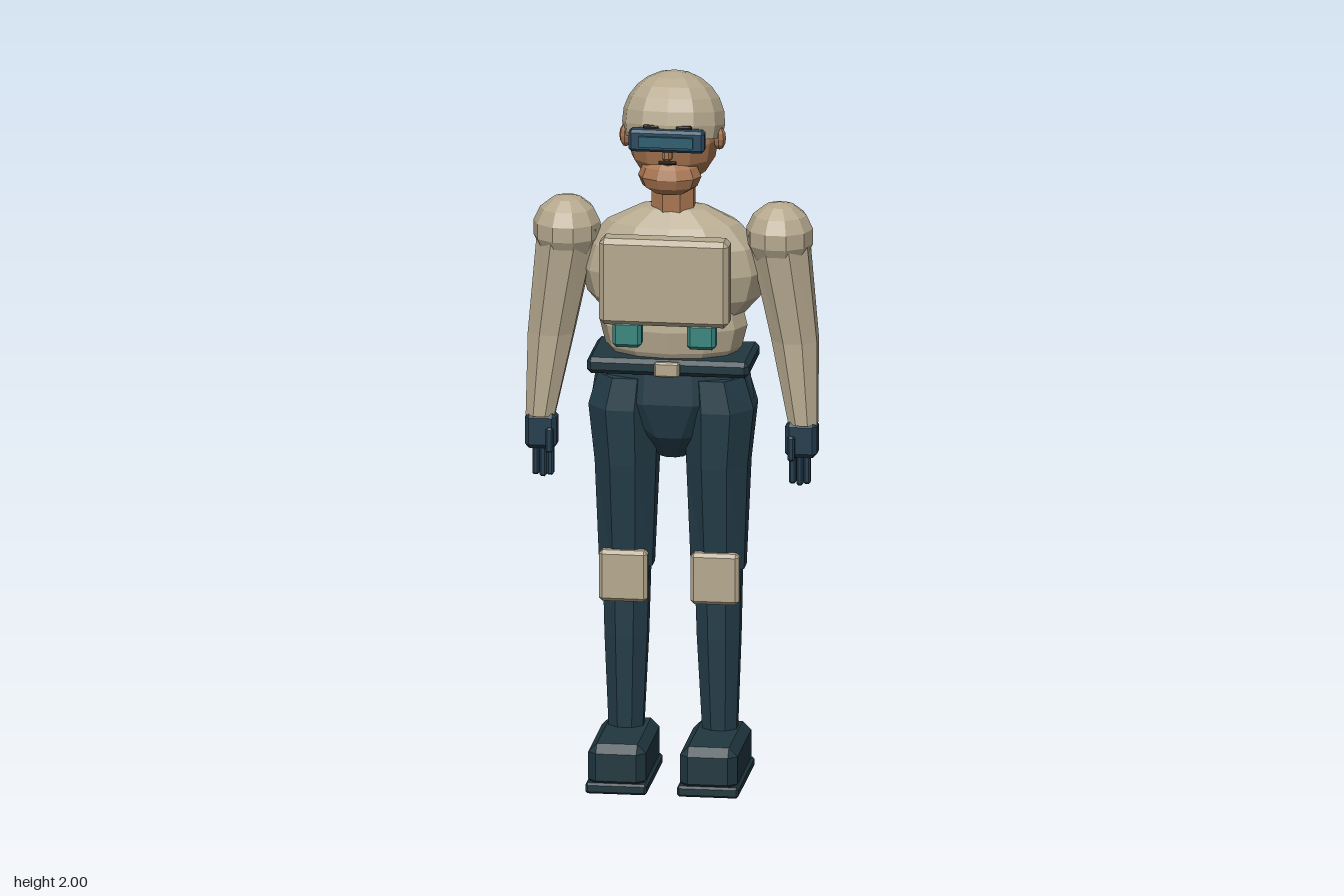
import * as THREE from 'three';
import { ConvexGeometry } from 'three/addons/geometries/ConvexGeometry.js';

const mat = (name, color) => {
  const m = new THREE.MeshStandardMaterial({ color });
  m.name = name;
  return m;
};

// Faceted normals for low-poly shapes
function facet(g) {
  const f = g.index ? g.toNonIndexed() : g;
  f.computeVertexNormals();
  return f;
}

// Box with all edges chamfered by b
function chamferBox(w, h, d, b) {
  const pts = [];
  for (const x of [-w / 2, w / 2]) for (const y of [-h / 2, h / 2]) for (const z of [-d / 2, d / 2]) {
    const sx = Math.sign(x) * b, sy = Math.sign(y) * b, sz = Math.sign(z) * b;
    pts.push(new THREE.Vector3(x, y - sy, z - sz), new THREE.Vector3(x - sx, y, z - sz), new THREE.Vector3(x - sx, y - sy, z));
  }
  return new ConvexGeometry(pts);
}

// Ellipsoid, optionally cut off at polar angle theta
function ellipsoid(rx, ry, rz, ws = 12, hs = 8, theta = Math.PI) {
  const g = new THREE.SphereGeometry(1, ws, hs, 0, Math.PI * 2, 0, theta);
  return facet(g.scale(rx, ry, rz));
}

// Closed limb through elliptical rings [x, y, z, rx, rz], top to bottom
function loft(rings, sides = 8) {
  const pos = [], idx = [], n = rings.length;
  for (const [x, y, z, rx, rz] of rings) {
    for (let j = 0; j < sides; j++) {
      const a = ((j + 0.5) / sides) * Math.PI * 2;
      pos.push(x + rx * Math.sin(a), y, z + rz * Math.cos(a));
    }
  }
  for (let j = 0; j < sides; j++) {
    const k = (j + 1) % sides;
    for (let i = 0; i < n - 1; i++) {
      const p = i * sides, q = p + sides;
      idx.push(p + j, q + j, q + k, p + j, q + k, p + k);
    }
    const e = (n - 1) * sides;
    if (j > 0 && j < sides - 1) idx.push(0, j, k, e, e + k, e + j);
  }
  const g = new THREE.BufferGeometry();
  g.setAttribute('position', new THREE.Float32BufferAttribute(pos, 3));
  g.setIndex(idx);
  return facet(g);
}

export function createModel() {
  const root = new THREE.Group();
  root.name = 'figure';

  const cloth = mat('sandCloth', 0xb5a88e);
  const navy = mat('navyCloth', 0x243d49);
  const dark = mat('bootAndBelt', 0x20373f);
  const glove = mat('glove', 0x233c4c);
  const visorMat = mat('visor', 0x294a60);
  const lensMat = mat('lens', 0x2c5e70);
  const teal = mat('tealPouch', 0x3a857f);
  const skin = mat('skin', 0xa87550);
  const black = mat('darkFeature', 0x241c1a);

  const add = (name, geo, material, x = 0, y = 0, z = 0, parent = root) => {
    const m = new THREE.Mesh(geo, material);
    m.name = name;
    m.position.set(x, y, z);
    parent.add(m);
    return m;
  };

  // Head
  const head = new THREE.Group();
  head.name = 'head';
  root.add(head);
  add('face', ellipsoid(0.126, 0.135, 0.127), skin, 0, 1.815, -0.045, head);
  add('jaw', ellipsoid(0.088, 0.055, 0.065, 10, 6), skin, 0, 1.725, 0.03, head);
  add('nose', chamferBox(0.028, 0.04, 0.03, 0.008), skin, 0, 1.8, 0.08, head);
  add('mouth', chamferBox(0.05, 0.009, 0.008, 0.002), black, 0, 1.773, 0.078, head);
  add('cap', ellipsoid(0.143, 0.14, 0.138, 12, 7, Math.PI * 0.6), cloth, 0, 1.86, -0.05, head).rotation.x = -0.2;
  add('neck', loft([[0, 1.73, -0.05, 0.063, 0.055], [0, 1.59, -0.05, 0.063, 0.055]]), skin, 0, 0, 0, head);

  // Visor
  add('visor', chamferBox(0.21, 0.062, 0.042, 0.008), visorMat, 0, 1.84, 0.085, head);
  add('visorLens', new THREE.BoxGeometry(0.15, 0.03, 0.009), lensMat, 0, 1.84, 0.111, head);

  // Torso
  add('chest', ellipsoid(0.26, 0.19, 0.14), cloth, 0, 1.44, -0.055);
  add('belly', ellipsoid(0.205, 0.16, 0.123), cloth, 0, 1.285, -0.05);
  add('belt', chamferBox(0.45, 0.045, 0.24, 0.012), dark, 0, 1.187, -0.04);
  add('buckle', chamferBox(0.07, 0.042, 0.022, 0.005), cloth, 0, 1.187, 0.088);
  add('pelvis', loft([
    [0, 1.18, -0.042, 0.21, 0.115], [0, 1.08, -0.042, 0.225, 0.122],
    [0, 0.98, -0.042, 0.11, 0.095], [0, 0.912, -0.042, 0.04, 0.04],
  ], 10), navy);

  // Chest pack
  add('chestPack', chamferBox(0.36, 0.245, 0.075, 0.014), cloth, 0, 1.45, 0.126);

  for (const s of [1, -1]) {
    const side = s > 0 ? 'left' : 'right';
    const part = (name, geo, m, x, y, z) => add(side + name, geo, m, s * x, y, z);

    part('Ear', ellipsoid(0.018, 0.033, 0.025, 8, 6), skin, 0.13, 1.82, -0.03);
    part('Brow', chamferBox(0.045, 0.012, 0.014, 0.003), black, 0.045, 1.873, 0.075);
    part('Pouch', chamferBox(0.08, 0.075, 0.05, 0.01), teal, 0.103, 1.3, 0.13);

    // Arm
    part('Shoulder', ellipsoid(0.095, 0.095, 0.095, 10, 7), cloth, 0.295, 1.545, -0.045);
    part('Sleeve', loft([
      [s * 0.292, 1.55, -0.045, 0.088, 0.088], [s * 0.338, 1.25, -0.045, 0.068, 0.062],
      [s * 0.364, 1.02, -0.015, 0.043, 0.038],
    ]), cloth, 0, 0, 0);

    // Hand, with fingers side by side and a thumb in front
    part('Palm', chamferBox(0.088, 0.1, 0.062, 0.012), glove, 0.361, 0.977, -0.013);
    [0.336, 0.356, 0.376].forEach((x, i) =>
      part('Finger' + (i + 1), chamferBox(0.019, 0.09, 0.026, 0.005), glove, x, i === 1 ? 0.89 : 0.895, -0.01));
    part('Thumb', chamferBox(0.02, 0.07, 0.02, 0.005), glove, 0.335, 0.955, 0.018);

    // Leg
    part('Thigh', loft([
      [s * 0.12, 1.15, -0.042, 0.09, 0.115], [s * 0.133, 1.06, -0.042, 0.104, 0.126],
      [s * 0.127, 0.9, -0.04, 0.092, 0.112], [s * 0.127, 0.6, -0.035, 0.08, 0.071],
    ]), navy, 0, 0, 0);
    part('Shin', loft([
      [s * 0.127, 0.64, -0.035, 0.071, 0.062], [s * 0.128, 0.4, -0.038, 0.064, 0.06],
      [s * 0.13, 0.1, -0.045, 0.05, 0.045],
    ]), navy, 0, 0, 0);
    part('KneePad', chamferBox(0.135, 0.145, 0.04, 0.01), cloth, 0.127, 0.583, 0.037);

    // Boot
    part('Boot', chamferBox(0.16, 0.125, 0.33, 0.024), dark, 0.127, 0.075, 0.03);
    part('Sole', chamferBox(0.17, 0.03, 0.34, 0.006), dark, 0.127, 0.015, 0.028);
  }
  return root;
}
